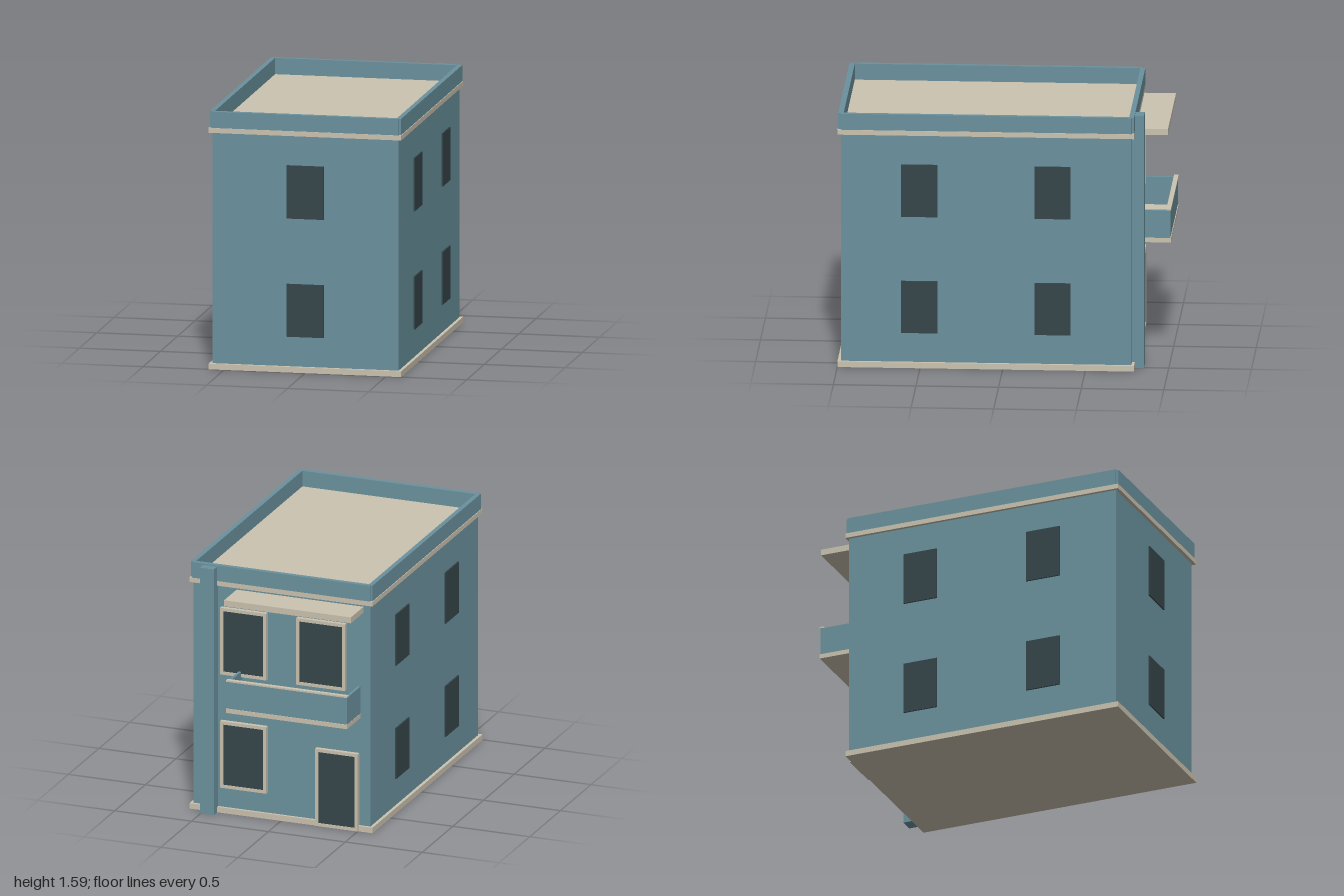
import * as THREE from 'three';

const mat = (name, color) => {
  const m = new THREE.MeshStandardMaterial({ color });
  m.name = name;
  return m;
};

export function createModel() {
  const blue = mat('blue plaster', 0x6b929e);
  const cream = mat('cream stone', 0xcbc3b0);
  const glass = mat('dark glass', 0x36464a);
  const house = new THREE.Group();
  house.name = 'house';

  // box given by its extents along each axis
  const box = (name, material, [x0, x1], [y0, y1], [z0, z1], parent = house) => {
    const mesh = new THREE.Mesh(new THREE.BoxGeometry(x1 - x0, y1 - y0, z1 - z0), material);
    mesh.position.set((x0 + x1) / 2, (y0 + y1) / 2, (z0 + z1) / 2);
    mesh.name = name;
    parent.add(mesh);
    return mesh;
  };

  // main volume with base and cornice slabs; the cornice top is the roof deck
  box('base', cream, [-0.595, 0.595], [0, 0.035], [-0.795, 1]);
  box('walls', blue, [-0.575, 0.575], [0.035, 1.455], [-0.778, 0.978]);
  box('corniceAndRoof', cream, [-0.595, 0.595], [1.455, 1.485], [-0.795, 1]);

  // parapet with small notched corners
  const parapet = new THREE.Group();
  parapet.name = 'parapet';
  house.add(parapet);
  const top = [1.485, 1.585];
  box('parapetFront', blue, [-0.578, 0.578], top, [0.963, 0.996], parapet);
  box('parapetBack', blue, [-0.578, 0.578], top, [-0.795, -0.765], parapet);
  box('parapetLeft', blue, [0.562, 0.591], top, [-0.781, 0.981], parapet);
  box('parapetRight', blue, [-0.591, -0.562], top, [-0.781, 0.981], parapet);

  // front and side windows on both floors, standing just off the walls
  for (const y of [[0.22, 0.545], [0.947, 1.274]]) {
    box('frontWindow', glass, [-0.115, 0.115], y, [0.992, 1]);
    for (const z of [[0.395, 0.615], [-0.412, -0.193]]) {
      box('leftWindow', glass, [0.588, 0.597], y, z);
      box('rightWindow', glass, [-0.597, -0.588], y, z);
    }
  }

  // framed openings of the back wall
  const framed = (name, [x0, x1], [y0, y1]) => {
    const t = 0.02;
    const group = new THREE.Group();
    group.name = name;
    house.add(group);
    const outline = new THREE.Shape([
      new THREE.Vector2(x0, y0), new THREE.Vector2(x1, y0),
      new THREE.Vector2(x1, y1), new THREE.Vector2(x0, y1),
    ]);
    outline.holes.push(new THREE.Path([
      new THREE.Vector2(x0 + t, y0 + t), new THREE.Vector2(x0 + t, y1 - t),
      new THREE.Vector2(x1 - t, y1 - t), new THREE.Vector2(x1 - t, y0 + t),
    ]));
    const frame = new THREE.Mesh(
      new THREE.ExtrudeGeometry(outline, { depth: 0.027, bevelEnabled: false }), cream);
    frame.position.z = -0.805;
    frame.name = 'frame';
    group.add(frame);
    box('pane', glass, [x0 + t, x1 - t], [y0 + t, y1 - t], [-0.801, -0.793], group);
  };
  framed('backWindowLower', [0.092, 0.392], [0.165, 0.592]);
  framed('backWindowUpper', [0.092, 0.392], [0.892, 1.32]);
  framed('balconyWindow', [-0.42, -0.102], [0.892, 1.32]);
  framed('backDoor', [-0.503, -0.225], [0.002, 0.498]);

  // corner pier
  box('pier', blue, [0.415, 0.505], [0, 1.577], [-0.85, -0.775]);

  // balcony: slab, three parapet walls and a coping along the outer edge
  const balcony = new THREE.Group();
  balcony.name = 'balcony';
  house.add(balcony);
  box('balconySlab', cream, [-0.512, 0.277], [0.725, 0.753], [-1, -0.775], balcony);
  box('balconyFront', blue, [-0.51, 0.275], [0.753, 0.925], [-0.996, -0.978], balcony);
  box('balconySideLeft', blue, [0.257, 0.275], [0.753, 0.925], [-0.978, -0.775], balcony);
  box('balconySideRight', blue, [-0.51, -0.492], [0.753, 0.925], [-0.978, -0.775], balcony);
  box('balconyCoping', cream, [-0.512, 0.277], [0.925, 0.935], [-1, -0.972], balcony);

  // canopy over the balcony
  box('canopy', cream, [-0.53, 0.295], [1.402, 1.44], [-0.983, -0.775]);

  return house;
}
